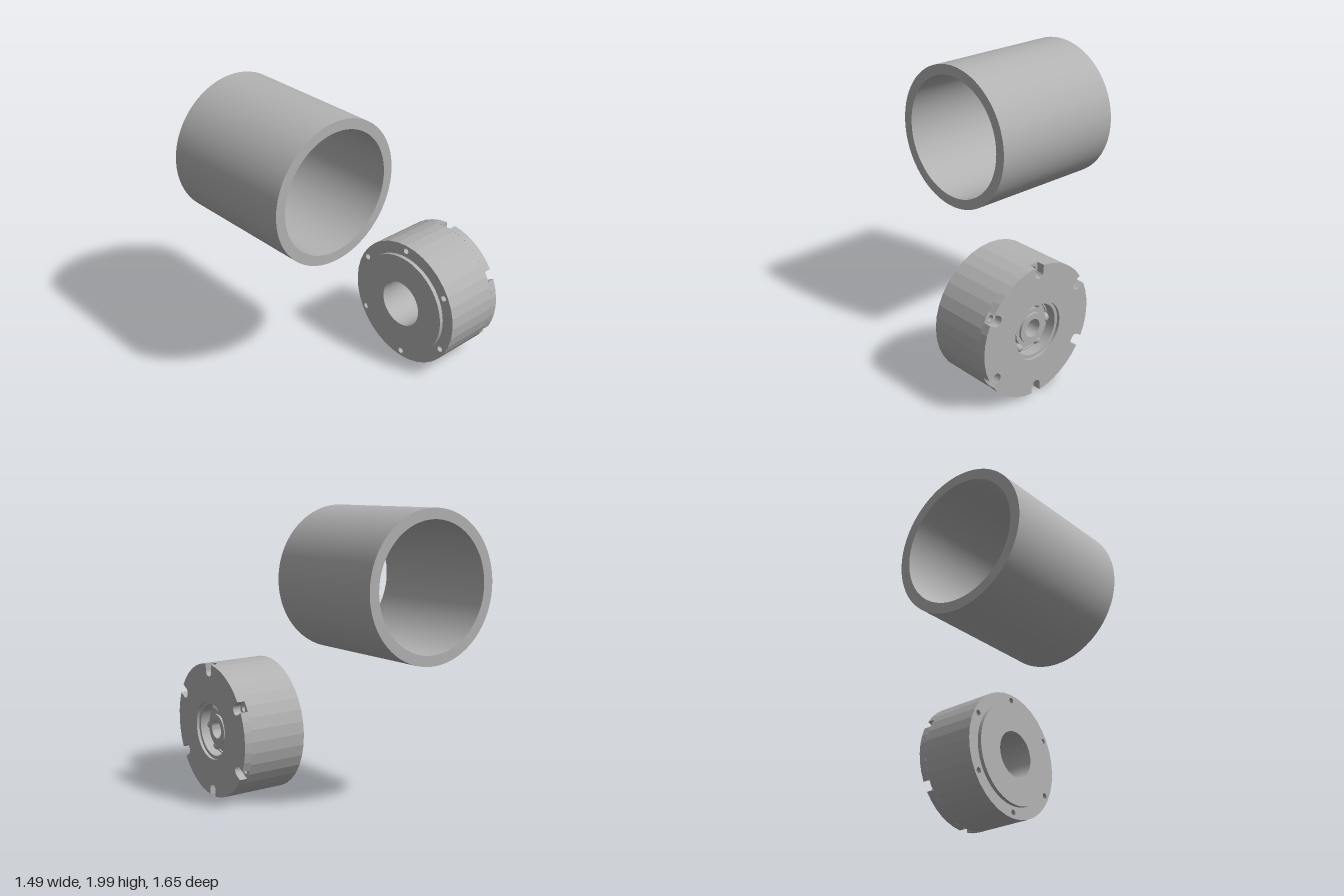
import * as THREE from 'three';
import { toCreasedNormals } from 'three/addons/utils/BufferGeometryUtils.js';

const metal = new THREE.MeshStandardMaterial({ color: 0xb2b2b2 });
metal.name = 'grey metal';

function part(name, geometry, parent) {
  const mesh = new THREE.Mesh(geometry, metal);
  mesh.name = name;
  parent.add(mesh);
  return mesh;
}

// Closed ring turned around z; profile is [radius, z], outer side rising in z
function ring(profile, segments) {
  const points = [...profile, profile[0]].map(([r, z]) => new THREE.Vector2(r, z));
  const geometry = new THREE.LatheGeometry(points, segments);
  geometry.rotateX(Math.PI / 2);
  return toCreasedNormals(geometry, 0.5);
}

function circlePoints(radius, count, cx = 0, cy = 0) {
  return Array.from({ length: count }, (_, i) => {
    const a = (i / count) * Math.PI * 2;
    return new THREE.Vector2(cx + radius * Math.cos(a), cy + radius * Math.sin(a));
  });
}

function extrude(shape, z0, z1) {
  const geometry = new THREE.ExtrudeGeometry(shape, { depth: z1 - z0, bevelEnabled: false });
  geometry.translate(0, 0, z0);
  return geometry;
}

const R = 0.465, BORE = 0.203, SLOT_R = 0.415, SLOT_W = 0.037, SLOT_DEPTH = 0.055;
const slotAngles = Array.from({ length: 6 }, (_, k) => Math.PI / 6 + (k * Math.PI) / 3);

// Disc outline with six U-shaped notches cut in from the rim
function notchedOutline() {
  const points = [];
  const half = Math.asin(SLOT_W / R);
  for (const a of slotAngles) {
    for (let i = 0; i <= 8; i++) {
      const t = Math.PI / 2 + (i / 8) * Math.PI;
      const u = SLOT_R + SLOT_W * Math.cos(t), v = -SLOT_W * Math.sin(t);
      points.push(new THREE.Vector2(
        u * Math.cos(a) - v * Math.sin(a), u * Math.sin(a) + v * Math.cos(a)));
    }
    for (let i = 0; i <= 6; i++) {
      const t = a + half + (i / 6) * (Math.PI / 3 - 2 * half);
      points.push(new THREE.Vector2(R * Math.cos(t), R * Math.sin(t)));
    }
  }
  return points;
}

export function createModel() {
  const model = new THREE.Group();
  model.name = 'tubeAndHub';

  // Open pipe
  const pipe = part('pipe', ring([[0.505, -0.52], [0.505, 0.52], [0.433, 0.52], [0.433, -0.52]], 96), model);
  pipe.position.set(-0.24, 1.494, -0.305);

  // Hub, slightly tilted; its local +z is the slotted face
  const tilt = new THREE.Group();
  tilt.name = 'hub';
  tilt.position.set(0.732, 0.47, 0.36);
  tilt.rotation.z = -0.0215;
  model.add(tilt);
  const hub = new THREE.Group();
  hub.name = 'hubParts';
  hub.rotation.y = Math.PI / 2;
  tilt.add(hub);

  // Slotted front layer
  const front = new THREE.Shape(notchedOutline());
  front.holes.push(new THREE.Path(circlePoints(BORE, 48)));
  part('slottedFace', extrude(front, -SLOT_DEPTH, 0), hub);

  // Main body with bolt holes running through it
  const body = new THREE.Shape(circlePoints(R, 36));
  body.holes.push(new THREE.Path(circlePoints(BORE, 48)));
  for (const a of slotAngles) {
    body.holes.push(new THREE.Path(
      circlePoints(0.022, 14, 0.422 * Math.cos(a), 0.422 * Math.sin(a))));
  }
  part('hubBody', extrude(body, -0.46, -SLOT_DEPTH), hub);

  // Raised rear flange
  part('rearFlange', ring([[0.375, -0.489], [0.375, -0.459], [0.17, -0.459], [0.17, -0.489]], 64), hub);

  // Bearing: outer race, stepped inner race, cage and balls
  part('outerRace', ring([
    [0.204, -0.459], [0.204, -0.02], [0.18, -0.02], [0.18, -0.09], [0.17, -0.09], [0.17, -0.459],
  ], 48), hub);
  part('innerRace', ring([
    [0.105, -0.22], [0.133, -0.2], [0.133, -0.06], [0.105, -0.06],
    [0.105, -0.045], [0.063, -0.045], [0.063, -0.22],
  ], 40), hub);
  part('bearingCage', ring([[0.182, -0.19], [0.182, -0.1], [0.13, -0.1], [0.13, -0.19]], 40), hub);
  for (let k = 0; k < 6; k++) {
    const a = (k * Math.PI) / 3;
    const ball = part('bearingBall', new THREE.SphereGeometry(0.032, 16, 12), hub);
    ball.position.set(0.156 * Math.cos(a), 0.156 * Math.sin(a), -0.095);
  }
  return model;
}
